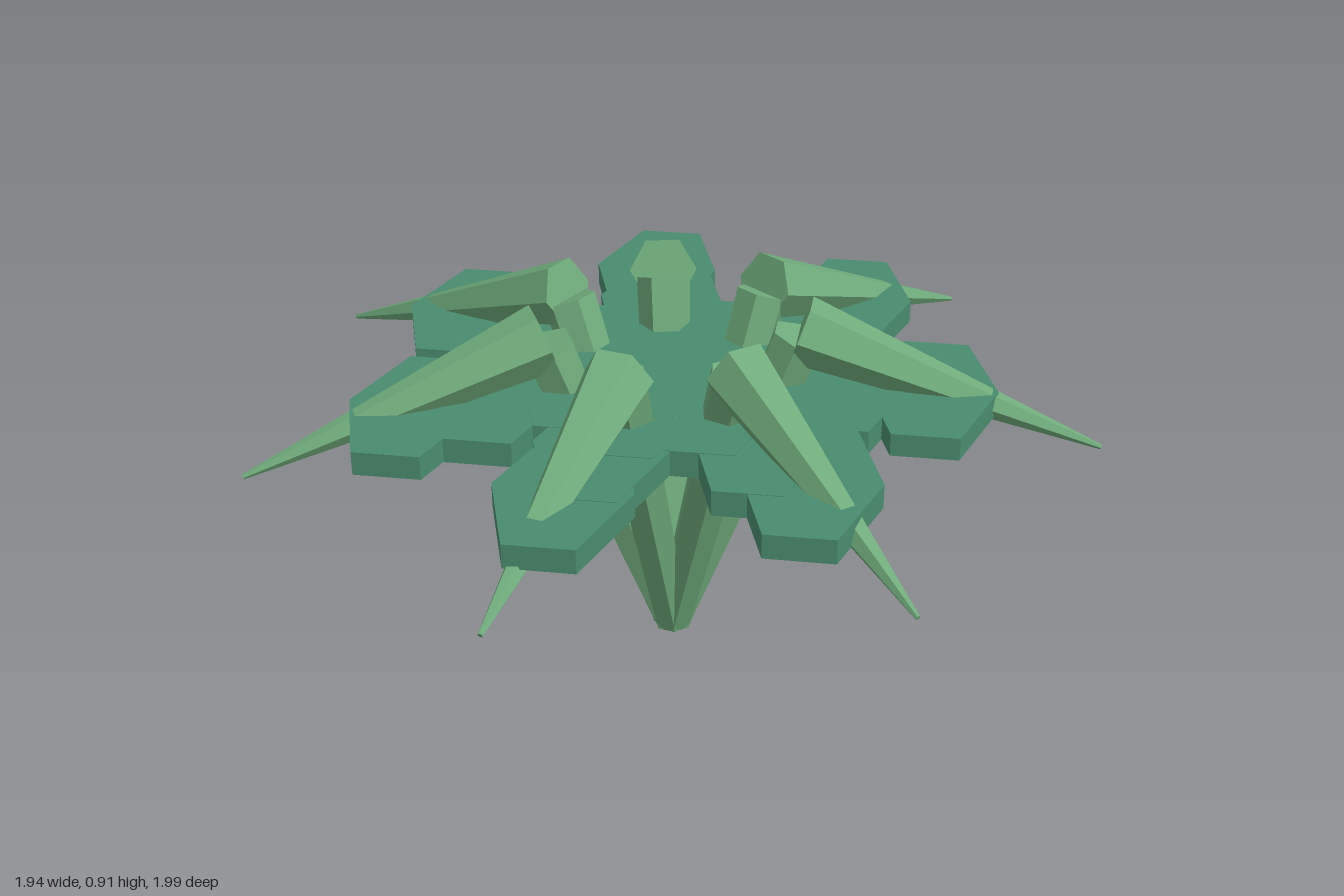
import * as THREE from 'three';

const SECTORS = 7;
const CENTRE_X = -0.05;

const limbMat = new THREE.MeshStandardMaterial({ color: 0x70ac7c, flatShading: true });
const tileMat = new THREE.MeshStandardMaterial({ color: 0x4a8c70, flatShading: true });

// Tapered six-sided limb in the radial (x, y) plane, flat side up
function limb(name, [x0, y0, r0], [x1, y1, r1]) {
  const dx = x1 - x0, dy = y1 - y0;
  const mesh = new THREE.Mesh(new THREE.CylinderGeometry(r1, r0, Math.hypot(dx, dy), 6), limbMat);
  mesh.name = name;
  mesh.position.set((x0 + x1) / 2, (y0 + y1) / 2, 0);
  mesh.rotation.z = Math.atan2(dy, dx) - Math.PI / 2;
  return mesh;
}

// Hexagonal plate, stretched along z; all plates share one orientation
function tile(radius, angle, thickness) {
  const geo = new THREE.CylinderGeometry(1, 1, thickness, 6);
  geo.rotateY(Math.PI / 2); // corners on +x and -x
  geo.scale(0.156, 1, 0.283);
  const mesh = new THREE.Mesh(geo, tileMat);
  mesh.name = 'canopyTile';
  mesh.position.set(radius * Math.cos(angle), 0.687, -radius * Math.sin(angle));
  return mesh;
}

export function createModel() {
  const model = new THREE.Group();
  model.name = 'spikedCanopy';
  const body = new THREE.Group();
  body.name = 'body';
  body.position.x = CENTRE_X;
  model.add(body);

  const canopy = new THREE.Group();
  canopy.name = 'canopy';
  canopy.add(tile(0, 0, 0.064));
  body.add(canopy);

  for (let i = 0; i < SECTORS; i++) {
    const angle = (i / SECTORS) * Math.PI * 2;

    // Rising leg, then a spike sloping out and down
    const arm = new THREE.Group();
    arm.name = 'bentArm';
    arm.rotation.y = angle;
    arm.add(
      limb('leg', [0.004, 0.014, 0.046], [0.302, 0.825, 0.066]),
      limb('spike', [0.306, 0.842, 0.083], [1.018, 0.59, 0.006])
    );
    body.add(arm);

    // Three overlapping plates under each arm
    for (let k = 1; k <= 3; k++) {
      canopy.add(tile(0.205 * k, angle, 0.064 - 0.003 * k + 0.0004 * i));
    }
  }
  return model;
}
